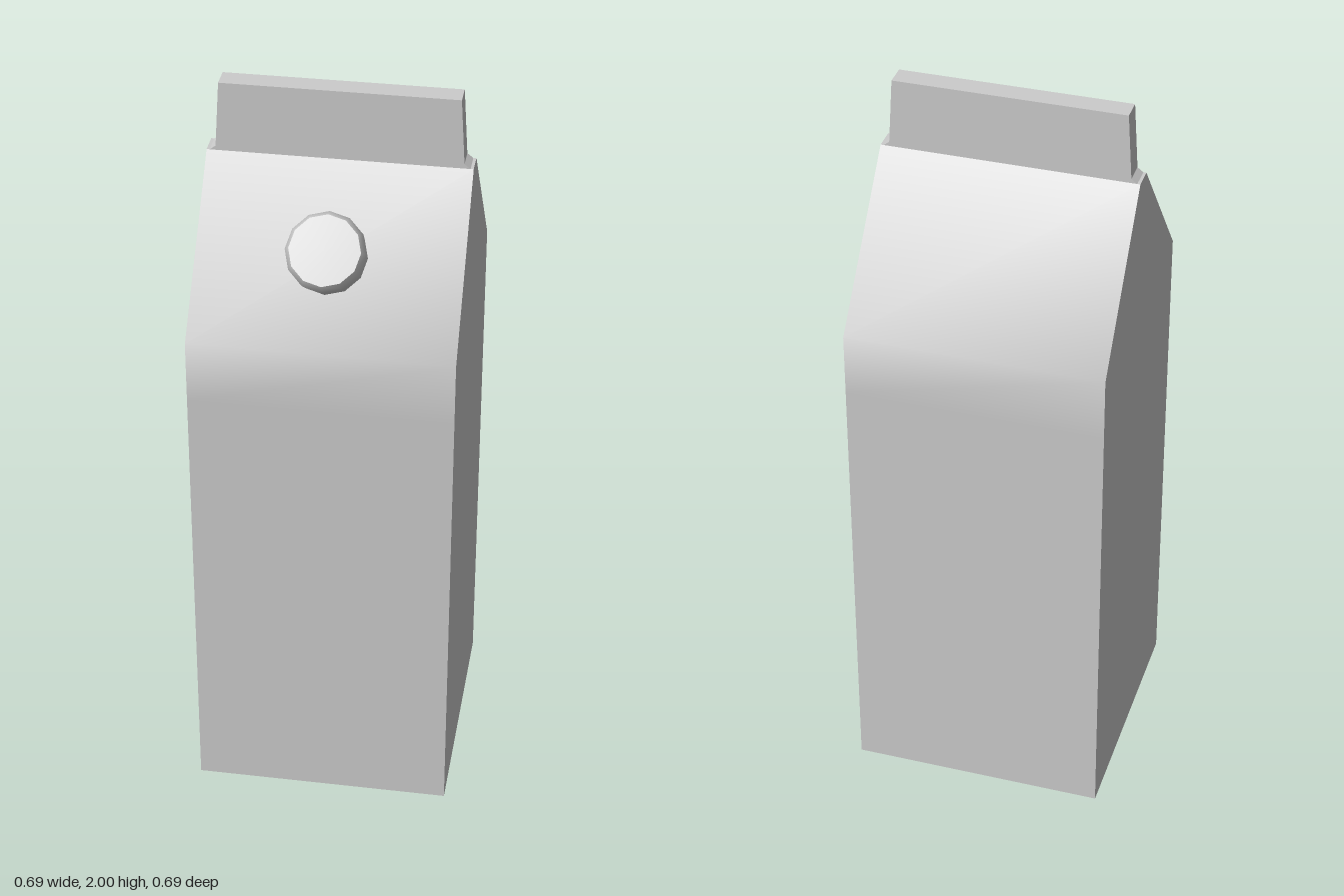
import * as THREE from 'three';
import { toCreasedNormals } from 'three/addons/utils/BufferGeometryUtils.js';

const HALF = 0.345;      // half width and depth of the carton
const SHOULDER = 1.42;   // where the walls meet the gable
const RIDGE_Y = 1.81;    // top of the gable
const RIDGE_HALF = 0.03; // half thickness of the sealed ridge

export function createModel() {
  const group = new THREE.Group();
  const card = new THREE.MeshStandardMaterial({ color: 0xcccccc });
  card.name = 'grey card';

  const add = (name, geometry) => {
    const mesh = new THREE.Mesh(geometry, card);
    mesh.name = name;
    group.add(mesh);
    return mesh;
  };

  // Body: gabled side profile extruded across the width, soft fold at the shoulder
  const half = [[HALF, 0], [HALF, 1.25], [HALF, SHOULDER], [RIDGE_HALF, RIDGE_Y]];
  const profile = [...half, ...half.map(([z, y]) => [-z, y]).reverse()];
  const shape = new THREE.Shape(profile.map(([z, y]) => new THREE.Vector2(z, y)));
  const body = new THREE.ExtrudeGeometry(shape, { depth: 2 * HALF, bevelEnabled: false });
  body.translate(0, 0, -HALF);
  body.rotateY(-Math.PI / 2);
  // the side walls lean in very slightly above the shoulder
  const bodyPos = body.attributes.position;
  for (let i = 0; i < bodyPos.count; i++) {
    if (bodyPos.getY(i) > SHOULDER + 0.1) bodyPos.setX(i, bodyPos.getX(i) * 0.99);
  }
  add('cartonBody', toCreasedNormals(body, 0.8));

  // Sealed ridge: a thin slab, narrowing a little towards its top
  const ridgeShape = new THREE.Shape([
    new THREE.Vector2(-0.34, RIDGE_Y - 0.005), new THREE.Vector2(0.34, RIDGE_Y - 0.005),
    new THREE.Vector2(0.318, 1.822), new THREE.Vector2(0.307, 2),
    new THREE.Vector2(-0.307, 2), new THREE.Vector2(-0.318, 1.822),
  ]);
  const ridge = new THREE.ExtrudeGeometry(ridgeShape, { depth: 2 * RIDGE_HALF, bevelEnabled: false });
  ridge.translate(0, 0, -RIDGE_HALF);
  add('sealedRidge', ridge);

  // Screw cap: bevelled twelve-sided disc standing square to the front slope
  const capProfile = [[0.1, -0.01], [0.104, 0.055], [0.092, 0.076], [0, 0.08]];
  const cap = add('screwCap', toCreasedNormals(
    new THREE.LatheGeometry(capProfile.map(([r, y]) => new THREE.Vector2(r, y)), 12), 0.9));
  const normal = new THREE.Vector3(0, HALF - RIDGE_HALF, RIDGE_Y - SHOULDER).normalize();
  cap.quaternion.setFromUnitVectors(new THREE.Vector3(0, 1, 0), normal);
  cap.position.set(-0.003, 1.618, 0.185);

  return group;
}
